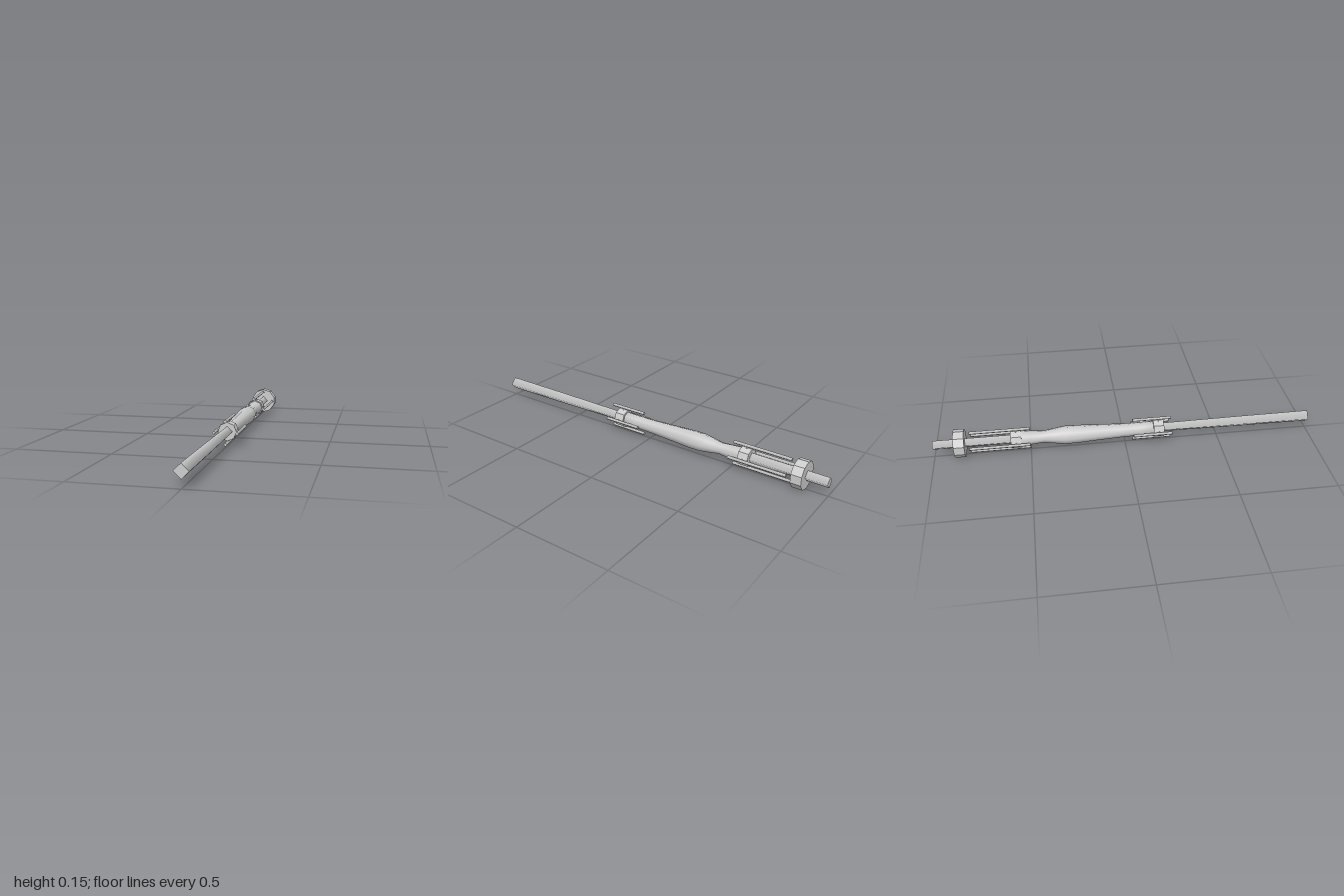
import * as THREE from 'three';

const AXIS_Y = 0.075;

export function createModel() {
  const model = new THREE.Group();
  const material = new THREE.MeshStandardMaterial({ color: 0xcccccc });
  const flat = new THREE.MeshStandardMaterial({ color: 0xcccccc, flatShading: true });

  const add = (name, geometry, mat = material, parent = model) => {
    const mesh = new THREE.Mesh(geometry, mat);
    mesh.name = name;
    parent.add(mesh);
    return mesh;
  };

  // Straight bar along z, from back to front
  const bar = (z0, z1, r0, r1, sides) =>
    new THREE.CylinderGeometry(r1, r0, z1 - z0, sides)
      .rotateX(Math.PI / 2)
      .translate(0, 0, (z0 + z1) / 2);

  // Four-sided shafts at both ends
  add('frontShaftTip', bar(0.62, 1, 0.032, 0.034, 4));
  add('frontShaft', bar(0.15, 0.62, 0.027, 0.032, 4));
  add('rearShaft', bar(-1, -0.56, 0.028, 0.028, 4));

  // Swelling grip with a narrow neck, turned on eight sides
  const profile = [
    [0, -0.6], [0.045, -0.6], [0.043, -0.56], [0.037, -0.5], [0.031, -0.43],
    [0.04, -0.375], [0.048, -0.32], [0.048, -0.26], [0.042, -0.14],
    [0.036, 0], [0.036, 0.08], [0.038, 0.17], [0, 0.17],
  ].map(([r, z]) => new THREE.Vector2(r, z));
  add('grip', new THREE.LatheGeometry(profile, 8).rotateX(Math.PI / 2));

  // Ten-sided disc near the rear end
  add('rearDisc', bar(-0.89, -0.835, 0.073, 0.073, 10), flat);

  // Collar carrying four thin rods on short pointed struts
  const rodCage = (name, c0, c1, r0, r1) => {
    const cage = new THREE.Group();
    cage.name = name;
    add('collar', bar(c0, c1, 0.048, 0.048, 8), flat, cage);
    for (let i = 0; i < 4; i++) {
      const arm = new THREE.Group();
      arm.name = 'rodArm';
      add('rod', bar(r0, r1, 0.0095, 0.0095, 4).translate(0, 0.059, 0), material, arm);
      add('strut', new THREE.CylinderGeometry(0.003, 0.009, 0.022, 4)
        .translate(0, 0.05, (c0 + c1) / 2), flat, arm);
      arm.rotation.z = i * Math.PI / 2;
      cage.add(arm);
    }
    model.add(cage);
  };
  rodCage('frontRodCage', 0.15, 0.205, 0.04, 0.245);
  rodCage('rearRodCage', -0.6, -0.545, -0.81, -0.5);

  model.children.forEach((part) => { part.position.y = AXIS_Y; });
  return model;
}
